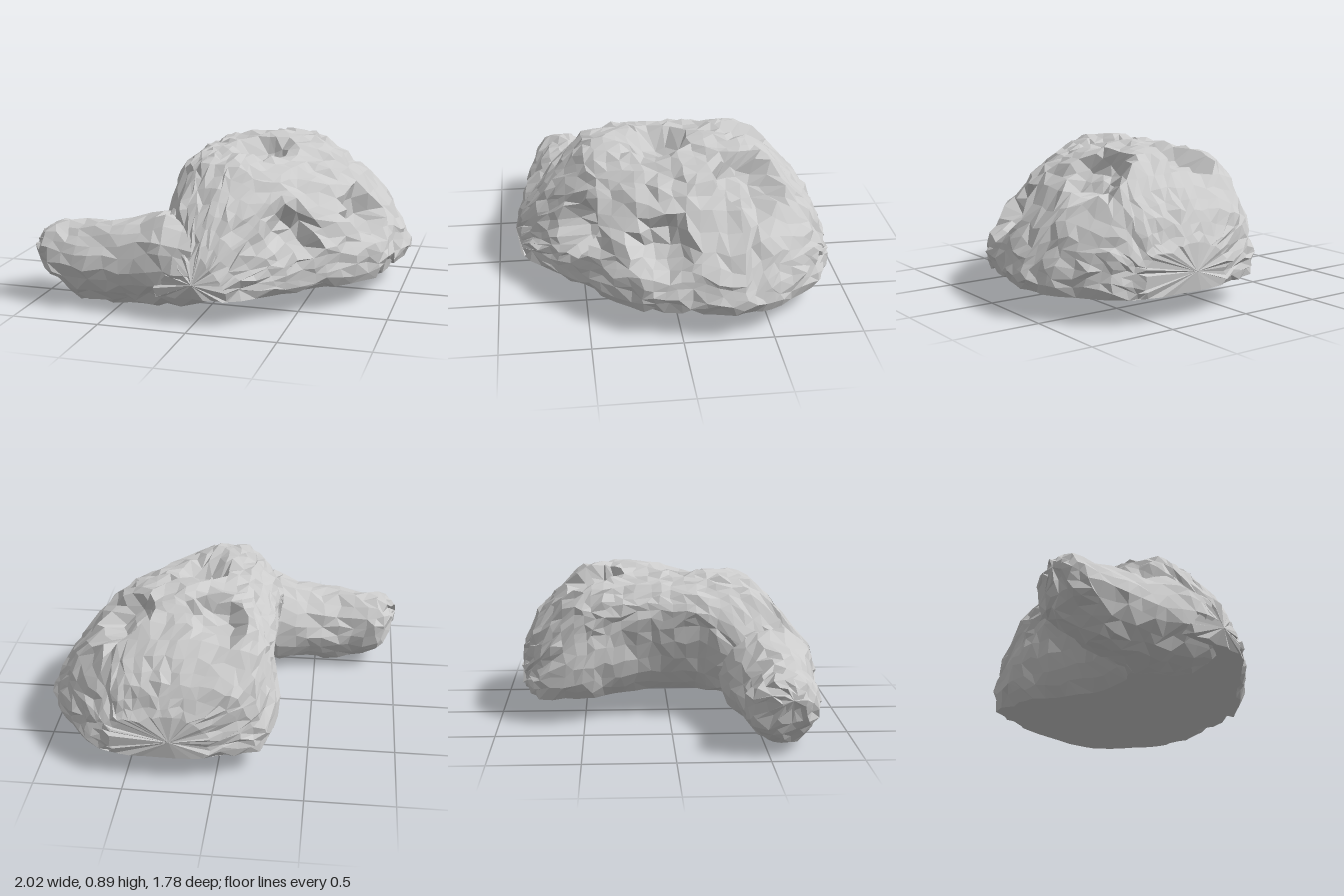
import * as THREE from 'three';

const material = new THREE.MeshStandardMaterial({ color: 0xcccccc, flatShading: true });

function seeded(seed) {
  return () => {
    seed = (seed * 16807) % 2147483647;
    return seed / 2147483647;
  };
}

// Smooth loft through closed rings, roughened into irregular facets
function loft(rings, around, along, tips, rough, shape, seed) {
  const random = seeded(seed);
  const wobble = () => (random() - 0.5) * 2 * rough;
  const loops = rings.map((ring) => {
    const curve = new THREE.CatmullRomCurve3(ring, true, 'catmullrom', 0.4);
    return Array.from({ length: around }, (_, j) => curve.getPoint(j / around));
  });
  const columns = loops[0].map((_, j) =>
    new THREE.CatmullRomCurve3(loops.map((l) => l[j]), false, 'catmullrom', 0.4).getPoints(along));

  const positions = [];
  const index = [];
  for (let i = 0; i <= along; i++) {
    for (let j = 0; j < around; j++) {
      const p = columns[j][i];
      p.add(new THREE.Vector3(wobble(), wobble(), wobble()));
      shape(p);
      positions.push(p.x, p.y, p.z);
    }
  }
  for (let i = 0; i < along; i++) {
    for (let j = 0; j < around; j++) {
      const a = i * around + j;
      const b = i * around + (j + 1) % around;
      const c = a + around;
      const d = b + around;
      if (random() < 0.5) index.push(a, c, b, b, c, d);
      else index.push(a, c, d, a, d, b);
    }
  }
  // Close both ends with a fan
  tips.forEach((tip, end) => {
    const centre = positions.length / 3;
    positions.push(tip.x, tip.y, tip.z);
    const start = end * along * around;
    for (let j = 0; j < around; j++) {
      const a = start + j;
      const b = start + (j + 1) % around;
      if (end) index.push(a, centre, b);
      else index.push(a, b, centre);
    }
  });

  const geometry = new THREE.BufferGeometry();
  geometry.setAttribute('position', new THREE.Float32BufferAttribute(positions, 3));
  geometry.setIndex(index);
  geometry.computeVertexNormals();
  return new THREE.Mesh(geometry, material);
}

// Pits: x, y, z, radius, depth
const pits = [
  [0.02, 0.83, -0.48, 0.18, 0.13],
  [0.58, 0.77, -0.42, 0.19, 0.15],
  [0.17, 0.85, 0.07, 0.17, 0.13],
  [0.84, 0.50, 0.10, 0.17, 0.15],
  [0.46, 0.46, 0.53, 0.15, 0.14],
].map(([x, y, z, radius, depth]) => ({ at: new THREE.Vector3(x, y, z), radius, depth }));
const core = new THREE.Vector3(0.25, 0.3, -0.05);

function carveBody(p) {
  for (const { at, radius, depth } of pits) {
    const t = 1 - p.distanceTo(at) / radius;
    if (t > 0) p.addScaledVector(core.clone().sub(at).normalize(), depth * Math.min(1, t * 2.4));
  }
  // Flat underside
  p.y = Math.max(p.y, 0.14);
  if (p.y < 0.17) p.y = 0.14;
}

function createBody() {
  // Each slice: z, then x,y of left base, left rim, left shoulder, crown,
  // right shoulder, right flank and right base
  const slices = [
    [-0.87, 0.08, 0.16, 0.03, 0.25, 0.1, 0.36, 0.3, 0.39, 0.5, 0.36, 0.58, 0.27, 0.54, 0.15],
    [-0.76, -0.18, 0.15, -0.23, 0.36, -0.12, 0.54, 0.25, 0.61, 0.55, 0.55, 0.73, 0.35, 0.69, 0.14],
    [-0.52, -0.24, 0.15, -0.28, 0.54, -0.19, 0.76, 0.2, 0.83, 0.55, 0.77, 0.88, 0.4, 0.86, 0.13],
    [-0.32, -0.13, 0.15, -0.28, 0.6, -0.15, 0.81, 0.22, 0.87, 0.6, 0.78, 0.97, 0.32, 0.91, 0.13],
    [-0.05, 0.0, 0.15, -0.28, 0.62, -0.15, 0.82, 0.22, 0.86, 0.6, 0.75, 0.92, 0.38, 0.88, 0.14],
    [0.2, -0.05, 0.14, -0.29, 0.62, -0.15, 0.82, 0.15, 0.84, 0.55, 0.7, 0.87, 0.38, 0.84, 0.14],
    [0.45, -0.2, 0.14, -0.28, 0.45, -0.12, 0.78, 0.1, 0.82, 0.4, 0.66, 0.66, 0.38, 0.63, 0.14],
    [0.66, -0.26, 0.14, -0.27, 0.34, -0.1, 0.58, 0.08, 0.61, 0.26, 0.5, 0.43, 0.3, 0.39, 0.14],
    [0.85, -0.2, 0.15, -0.19, 0.21, -0.05, 0.34, 0.03, 0.38, 0.1, 0.3, 0.18, 0.22, 0.15, 0.14],
  ];
  const rings = slices.map(([z, ...xy]) =>
    Array.from({ length: 7 }, (_, k) => new THREE.Vector3(xy[2 * k], xy[2 * k + 1], z)));
  const tips = [new THREE.Vector3(0.25, 0.25, -0.89), new THREE.Vector3(0, 0.23, 0.89)];
  const body = loft(rings, 42, 30, tips, 0.016, carveBody, 71);
  body.name = 'rockBody';
  return body;
}

function createArm() {
  // Each slice: x, centre z, centre y, half depth, half height
  const slices = [
    [-0.98, 0.61, 0.32, 0.06, 0.06],
    [-0.9, 0.57, 0.27, 0.19, 0.17],
    [-0.7, 0.6, 0.235, 0.2, 0.225],
    [-0.45, 0.58, 0.245, 0.23, 0.235],
    [-0.22, 0.57, 0.28, 0.28, 0.27],
    [0.0, 0.59, 0.27, 0.27, 0.22],
    [0.2, 0.58, 0.28, 0.14, 0.1],
  ];
  const rings = slices.map(([x, z, y, rz, ry]) =>
    Array.from({ length: 10 }, (_, k) => {
      const a = (k / 10) * Math.PI * 2;
      return new THREE.Vector3(x, y + Math.sin(a) * ry, z + Math.cos(a) * rz);
    }));
  const tips = [new THREE.Vector3(-1, 0.33, 0.61), new THREE.Vector3(0.22, 0.28, 0.58)];
  const arm = loft(rings, 20, 16, tips, 0.018, (p) => { p.y = Math.max(p.y, 0); }, 29);
  arm.name = 'rockArm';
  return arm;
}

export function createModel() {
  const group = new THREE.Group();
  group.name = 'rock';
  group.add(createBody(), createArm());
  return group;
}
